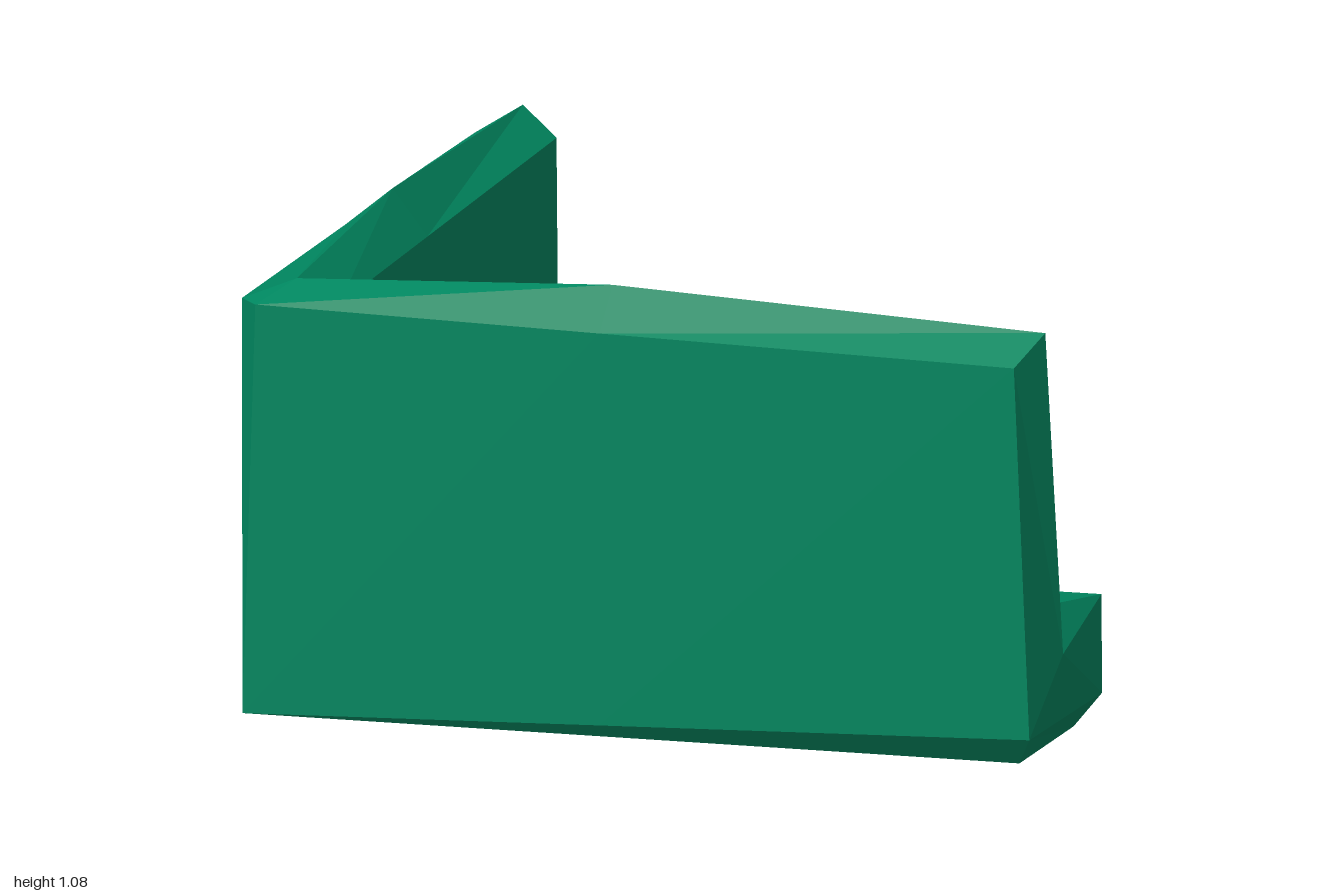
import * as THREE from 'three';

// Cross-section at an arm's free end: [distance from outer side, height, position along arm]
const END = [
  [0.01, 0.07, 0.96],   // outer bottom
  [0, 0.97, 0.925],     // outer top
  [0.105, 1.035, 0.97], // ridge
  [0.2, 0.97, 0.93],    // inner top
  [0.205, 0.375, 0.93], // foot of the backrest
  [0.235, 0.345, 0.935], // seat crease
  [0.52, 0.31, 0.98],   // seat edge
  [0.525, 0.07, 0.98],  // seat front bottom
  [0.46, 0, 0.93],      // base inner
  [0.06, 0, 0.92],      // base outer
];
const POLE = [0.15, 0.25, 1]; // tip of the faceted end

// Mitred corner section [x, y, z]; the base chamfers close to nothing here
const CORNER = [
  [-0.98, 0, 0.99], [-0.95, 0.99, 0.985], [-0.88, 1.035, 0.88], [-0.8, 0.96, 0.8],
  [-0.79, 0.42, 0.79], [-0.765, 0.355, 0.765], [-0.53, 0.29, 0.46],
  [-0.465, 0.04, 0.465], [-0.465, 0.04, 0.465], [-0.98, 0, 0.99],
];

const alongX = ([u, y, t]) => [t, y, 1 - u];
const alongZ = ([u, y, t]) => [u - 1, y, -t];

// Ring partway along an arm, with raised ridge and base inner edge on the floor
function midRing(corner, end, axis, at) {
  return corner.map((p, j) => {
    const f = (at - p[axis]) / (end[j][axis] - p[axis]);
    const q = p.map((v, k) => THREE.MathUtils.lerp(v, end[j][k], f));
    if (j === 2) q[1] = 1.075;
    if (j === 8) q[1] = 0;
    return q;
  });
}

export function createModel() {
  const group = new THREE.Group();
  group.name = 'cornerBench';
  const green = new THREE.MeshStandardMaterial({ color: 0x00865f });
  green.name = 'green';
  green.flatShading = true;
  green.side = THREE.DoubleSide; // hollow shell, open underneath

  // The outer top corner is clipped, so each arm has its own corner ring
  const cornerX = CORNER;
  const cornerZ = CORNER.map((p, j) => (j === 1 ? [-1, 0.99, 0.93] : p));
  const xEnd = END.map(alongX), zEnd = END.map(alongZ);
  const rings = [
    zEnd, midRing(cornerZ, zEnd, 2, 0.1), cornerZ,
    cornerX, midRing(cornerX, xEnd, 0, -0.1), xEnd,
  ];

  const positions = [];
  const same = (a, b) => a.every((v, k) => v === b[k]);
  const tri = (a, b, c) => {
    if (!same(a, b) && !same(b, c) && !same(a, c)) positions.push(...a, ...b, ...c);
  };
  const quad = (a, b, c, d) => {
    tri(a, b, c);
    tri(a, c, d);
  };

  // Skin between neighbouring rings, leaving out the floor between the base edges
  const n = END.length;
  for (let i = 0; i < rings.length - 1; i++) {
    const r = rings[i], s = rings[i + 1];
    for (let j = 0; j < n; j++) {
      const k = (j + 1) % n;
      if (j !== 8) quad(r[j], s[j], s[k], r[k]);
    }
  }

  // Faceted end caps with a chamfer along the bottom
  for (let j = 0; j < 8; j++) {
    const k = (j + 1) % 8;
    tri(alongX(POLE), xEnd[k], xEnd[j]);
    tri(alongZ(POLE), zEnd[j], zEnd[k]);
  }
  quad(xEnd[0], xEnd[9], xEnd[8], xEnd[7]);
  quad(zEnd[7], zEnd[8], zEnd[9], zEnd[0]);

  const geometry = new THREE.BufferGeometry();
  geometry.setAttribute('position', new THREE.Float32BufferAttribute(positions, 3));
  geometry.computeVertexNormals();
  const bench = new THREE.Mesh(geometry, green);
  bench.name = 'seatAndBackrest';
  group.add(bench);
  return group;
}
